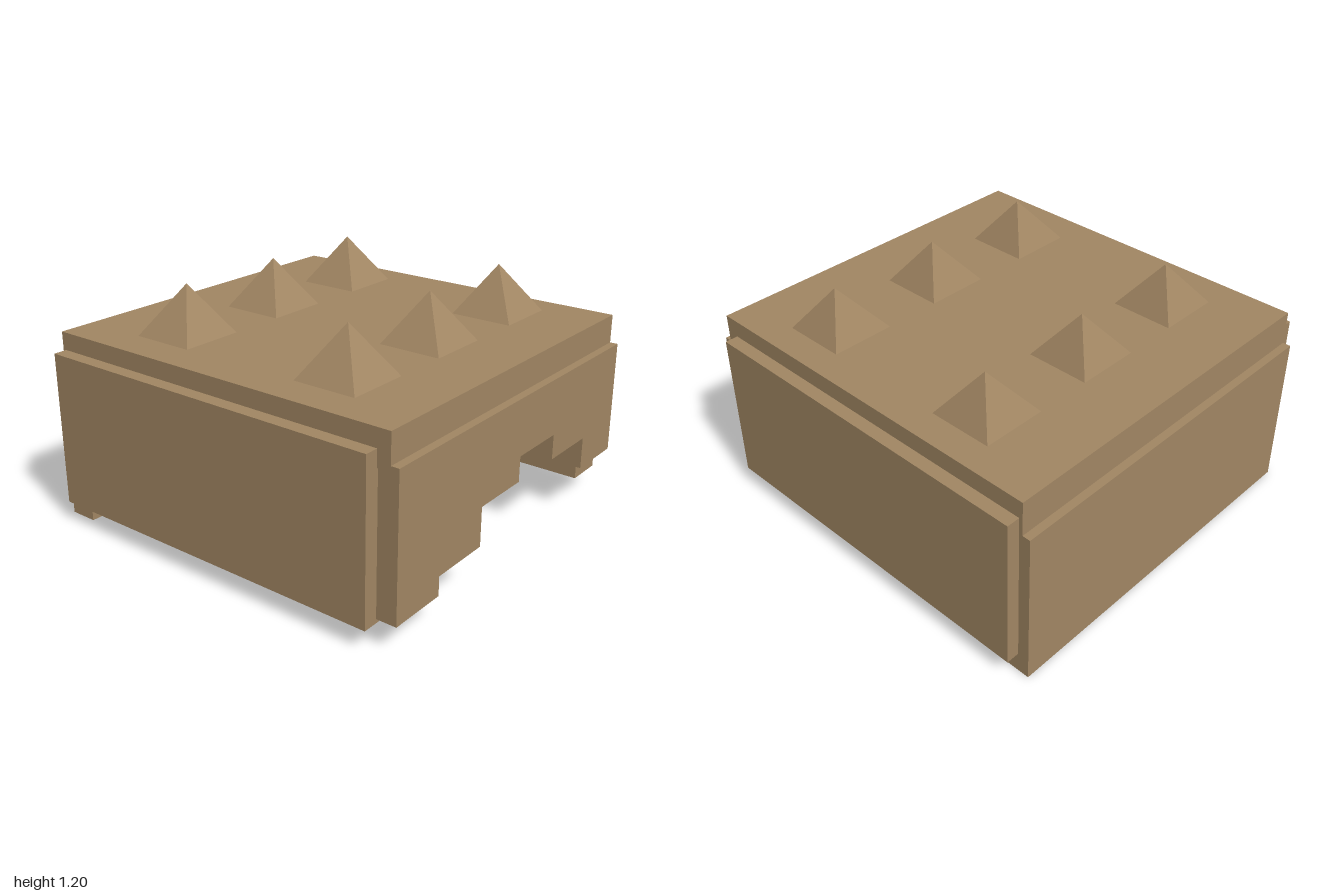
import * as THREE from 'three';

export function createModel() {
  const model = new THREE.Group();
  const wood = new THREE.MeshStandardMaterial({ color: 0xa18663 });
  wood.name = 'brown wood';

  const add = (name, geometry) => {
    const mesh = new THREE.Mesh(geometry, wood);
    mesh.name = name;
    model.add(mesh);
    return mesh;
  };

  // Box given by its lower and upper limits on each axis
  const addBox = (name, [x0, x1], [y0, y1], [z0, z1]) =>
    add(name, new THREE.BoxGeometry(x1 - x0, y1 - y0, z1 - z0))
      .position.set((x0 + x1) / 2, (y0 + y1) / 2, (z0 + z1) / 2);

  addBox('topSlab', [-0.93, 0.927], [0.795, 0.965], [-0.96, 0.96]);
  addBox('backPanel', [-0.93, 0.927], [0, 0.795], [-1, -0.855]);
  addBox('rightPanel', [-0.998, -0.8], [0.103, 0.877], [-0.942, 0.895]);
  addBox('leftPanel', [0.793, 0.992], [0.103, 0.877], [-0.942, 0.895]);

  // Front panel with a stepped arch: x start of each step and its lower edge
  const steps = [[-0.93, 0.128], [-0.63, 0.222], [-0.312, 0.415],
    [0, 0.54], [0.308, 0.415], [0.622, 0.254]];
  const right = 0.927, top = 0.822;
  const outline = new THREE.Shape();
  outline.moveTo(-0.93, top);
  steps.forEach(([x, y], i) => {
    outline.lineTo(x, y);
    outline.lineTo(i + 1 < steps.length ? steps[i + 1][0] : right, y);
  });
  outline.lineTo(right, top);
  outline.closePath();
  add('frontPanel', new THREE.ExtrudeGeometry(outline, { depth: 0.1, bevelEnabled: false }))
    .position.z = 0.9;

  // Square spikes, each with its tip leaning slightly to one side
  const half = 0.161, height = 0.235;
  const spike = new THREE.ConeGeometry(half * Math.SQRT2, height, 4, 1, true)
    .rotateY(Math.PI / 4).translate(0, height / 2, 0).toNonIndexed();
  const p = spike.attributes.position;
  for (let i = 0; i < p.count; i++) {
    const t = p.getY(i) / height;
    p.setX(i, p.getX(i) + 0.031 * t);
    p.setZ(i, p.getZ(i) - 0.023 * t);
  }
  spike.computeVertexNormals();
  for (const z of [-0.466, 0.487]) {
    for (const x of [-0.59, 0.013, 0.617]) add('spike', spike).position.set(x, 0.965, z);
  }

  return model;
}
